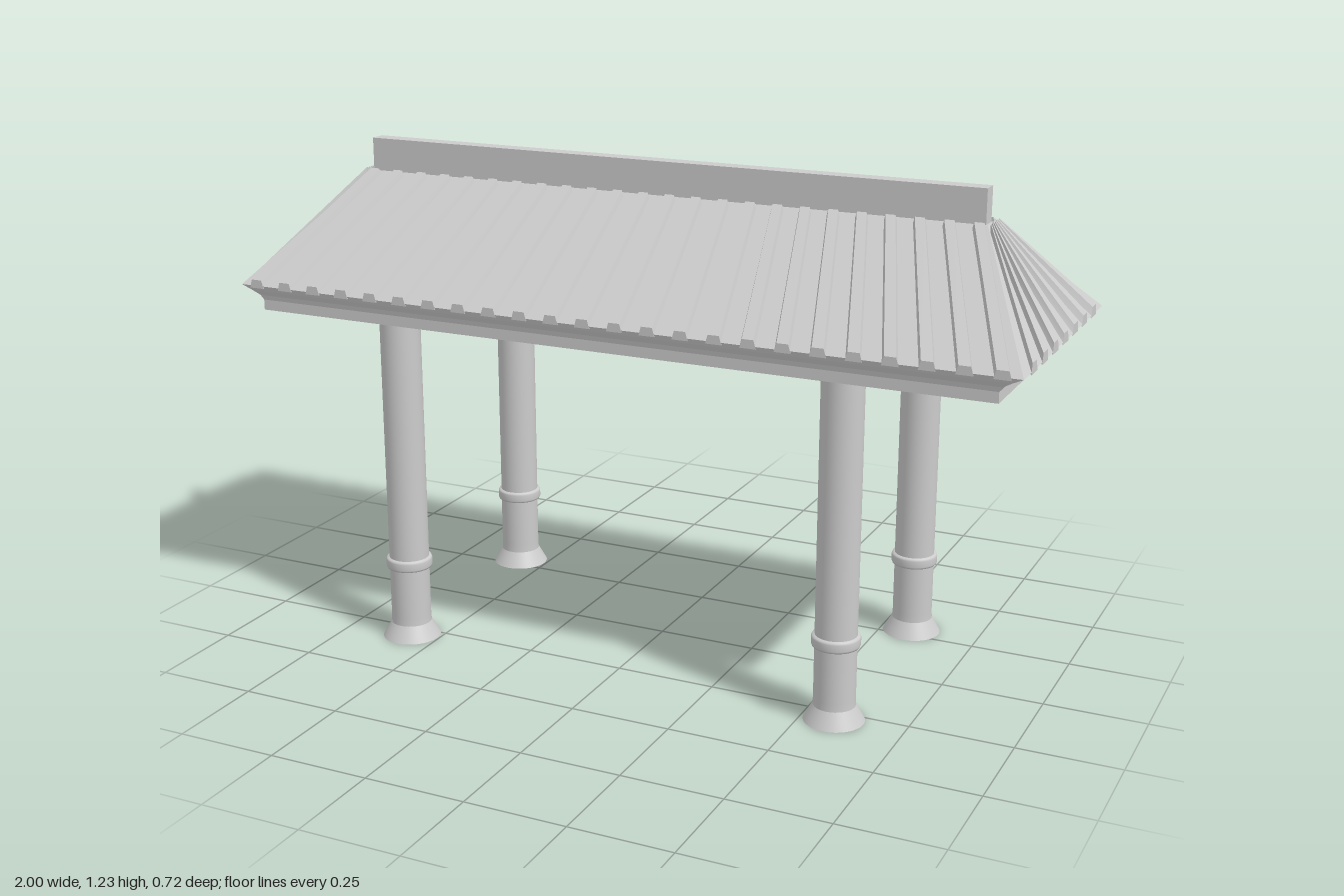
import * as THREE from 'three';
import { mergeGeometries } from 'three/addons/utils/BufferGeometryUtils.js';

const EAVE = { x: 1, y: 0.895, z: 0.35 };
const TOP = { x: 0.815, y: 1.145, z: 0.025 };
const lerp = THREE.MathUtils.lerp;

// Closed solid made of stacked rectangles [halfX, halfZ, y]
function stackedRects(levels) {
  const pos = [], index = [];
  for (const [x, z, y] of levels) pos.push(x, y, z, x, y, -z, -x, y, -z, -x, y, z);
  for (let l = 0; l < levels.length - 1; l++) {
    for (let i = 0; i < 4; i++) {
      const a = l * 4 + i, b = l * 4 + (i + 1) % 4;
      index.push(a, b, b + 4, a, b + 4, a + 4);
    }
  }
  const t = (levels.length - 1) * 4;
  index.push(0, 2, 1, 0, 3, 2, t, t + 1, t + 2, t, t + 2, t + 3);
  const g = new THREE.BufferGeometry();
  g.setAttribute('position', new THREE.Float32BufferAttribute(pos, 3));
  g.setIndex(index);
  const flat = g.toNonIndexed();
  flat.computeVertexNormals();
  return flat;
}

// Tapered roof ribs running from the eave (outer) up to the ridge (inner)
function ribs({ count, eaveStep, topStep, outer, inner, lift, end, width, topWidth }) {
  const parts = [];
  for (let i = 0; i < count; i++) {
    const k = i - (count - 1) / 2;
    const g = new THREE.BoxGeometry(1, 1, 1);
    const p = g.attributes.position;
    for (let v = 0; v < p.count; v++) {
      const raised = p.getY(v) > 0;
      const t = p.getZ(v) > 0 ? 0 : end;
      const w = lerp(width, topWidth, t) * (raised ? 0.7 : 1);
      p.setXYZ(v,
        k * lerp(eaveStep, topStep, t) + p.getX(v) * w,
        lerp(EAVE.y, TOP.y, t) + (raised ? lift : -0.006),
        lerp(outer, inner, t));
    }
    g.computeVertexNormals();
    parts.push(g);
  }
  return mergeGeometries(parts);
}

export function createModel() {
  const model = new THREE.Group();
  const material = new THREE.MeshStandardMaterial({ color: 0xcccccc });
  const add = (name, geometry) => {
    const mesh = new THREE.Mesh(geometry, material);
    mesh.name = name;
    model.add(mesh);
    return mesh;
  };

  // Hipped roof with a flared cornice under the eaves
  add('roof', stackedRects([
    [0.945, 0.336, 0.832],
    [0.945, 0.336, 0.858],
    [0.953, 0.339, 0.87],
    [0.973, 0.345, 0.882],
    [EAVE.x, EAVE.z, EAVE.y],
    [TOP.x, TOP.z, TOP.y],
  ]));

  // Ribs on the long slopes and on the hipped ends
  const longRibs = ribs({
    count: 24, eaveStep: 0.083, topStep: 0.069, outer: EAVE.z, inner: TOP.z,
    lift: 0.015, end: 0.97, width: 0.04, topWidth: 0.034,
  });
  const endRibs = ribs({
    count: 7, eaveStep: 0.089, topStep: 0.0065, outer: EAVE.x, inner: TOP.x,
    lift: 0.02, end: 0.95, width: 0.05, topWidth: 0.004,
  });
  add('frontRibs', longRibs);
  add('backRibs', longRibs).rotation.y = Math.PI;
  add('leftRibs', endRibs).rotation.y = Math.PI / 2;
  add('rightRibs', endRibs).rotation.y = -Math.PI / 2;

  // Ridge beam
  const ridge = new THREE.BoxGeometry(1.62, 0.1, 0.042);
  add('ridgeBeam', ridge).position.y = 1.178;

  // Columns with a flared foot and a raised band
  const shaft = new THREE.LatheGeometry(
    [[0.051, 0.039], [0.05, 0.06], [0.05, 0.84]].map(([r, y]) => new THREE.Vector2(r, y)), 32);
  const foot = new THREE.CylinderGeometry(0.051, 0.073, 0.04, 32);
  foot.translate(0, 0.02, 0);
  const band = new THREE.LatheGeometry(
    [[0.049, 0.187], [0.056, 0.189], [0.058, 0.194], [0.058, 0.21], [0.056, 0.215], [0.049, 0.217]]
      .map(([r, y]) => new THREE.Vector2(r, y)), 32);
  for (const sx of [1, -1]) {
    for (const sz of [1, -1]) {
      const column = new THREE.Group();
      column.name = (sz > 0 ? 'front' : 'back') + (sx > 0 ? 'Left' : 'Right') + 'Column';
      for (const [name, g] of [['shaft', shaft], ['foot', foot], ['band', band]]) {
        const mesh = new THREE.Mesh(g, material);
        mesh.name = name;
        column.add(mesh);
      }
      column.position.set(sx * 0.578, 0, sz * 0.286);
      model.add(column);
    }
  }
  return model;
}
